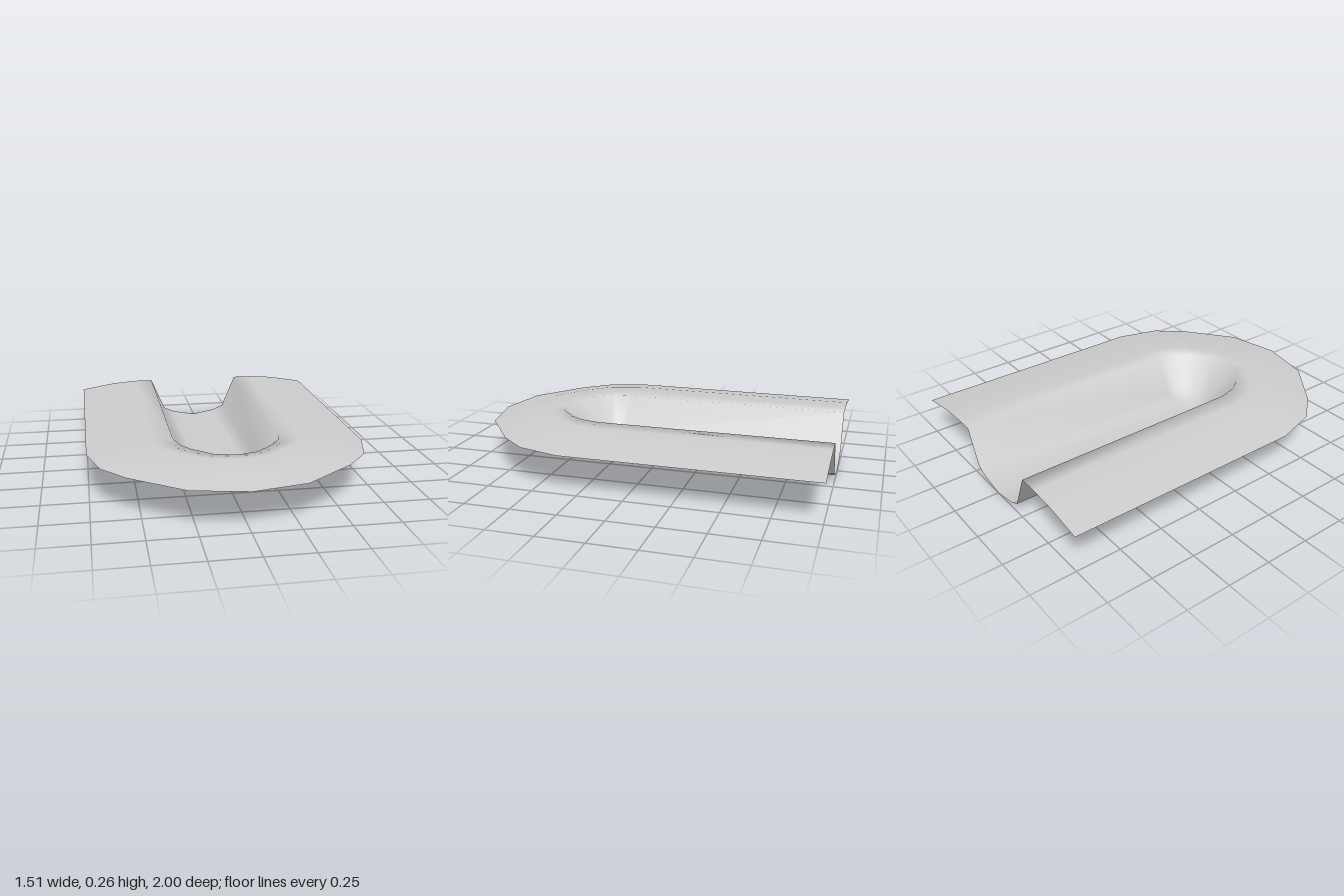
import * as THREE from 'three';
import { mergeVertices } from 'three/addons/utils/BufferGeometryUtils.js';

// Half outline of the rounded end, as fractions of half width and end length
const ARC = [[1, 0], [0.914, 0.354], [0.748, 0.585], [0.384, 0.908], [0, 1]];

// Rings from outer edge to channel floor: half width, side height, arc start z, front z, front height
const RINGS = [
  [0.755, 0.21, 0.35, 1.0, 0.21],
  [0.55, 0.245, 0.33, 0.82, 0.243],
  [0.4, 0.256, 0.31, 0.68, 0.256],
  [0.29, 0.256, 0.3, 0.61, 0.256],
  [0.205, 0.055, 0.3, 0.465, 0.08],
  [0.14, 0.025, 0.3, 0.39, 0.025],
  [0, 0, 0.3, 0.3, 0],
];

// One ring: back left, round the front, to back right
function ringPoints([halfWidth, sideY, startZ, frontZ, frontY]) {
  const left = [[halfWidth, sideY, -1]];
  for (const [fx, fz] of ARC) {
    left.push([halfWidth * fx, sideY + (frontY - sideY) * fz, startZ + (frontZ - startZ) * fz]);
  }
  const right = left.slice(0, -1).reverse().map(([x, y, z]) => [-x, y, z]);
  return [...left, ...right];
}

function sheetGeometry() {
  const rings = RINGS.map(ringPoints);
  const count = rings[0].length;
  const index = [];
  for (let i = 0; i < rings.length - 1; i++) {
    for (let j = 0; j < count - 1; j++) {
      const a = i * count + j, b = a + 1, d = a + count, c = d + 1;
      // mirror the diagonals across the centre line
      if (j < (count - 1) / 2) index.push(a, d, c, a, c, b);
      else index.push(a, d, b, d, c, b);
    }
  }
  const geometry = new THREE.BufferGeometry();
  geometry.setAttribute('position', new THREE.Float32BufferAttribute(rings.flat(2), 3));
  geometry.setIndex(index);
  // weld the two sides along the floor so the shading is smooth
  const welded = mergeVertices(geometry, 1e-4);
  welded.computeVertexNormals();
  return welded;
}

export function createModel() {
  const grey = new THREE.MeshStandardMaterial({ color: 0xcccccc, side: THREE.DoubleSide });
  grey.name = 'light grey';

  const group = new THREE.Group();
  group.name = 'channel with rounded end';

  // Thin sheet: sloping brim, rim and sunken channel, open at the back
  const sheet = new THREE.Mesh(sheetGeometry(), grey);
  sheet.name = 'channelSheet';
  group.add(sheet);
  return group;
}
